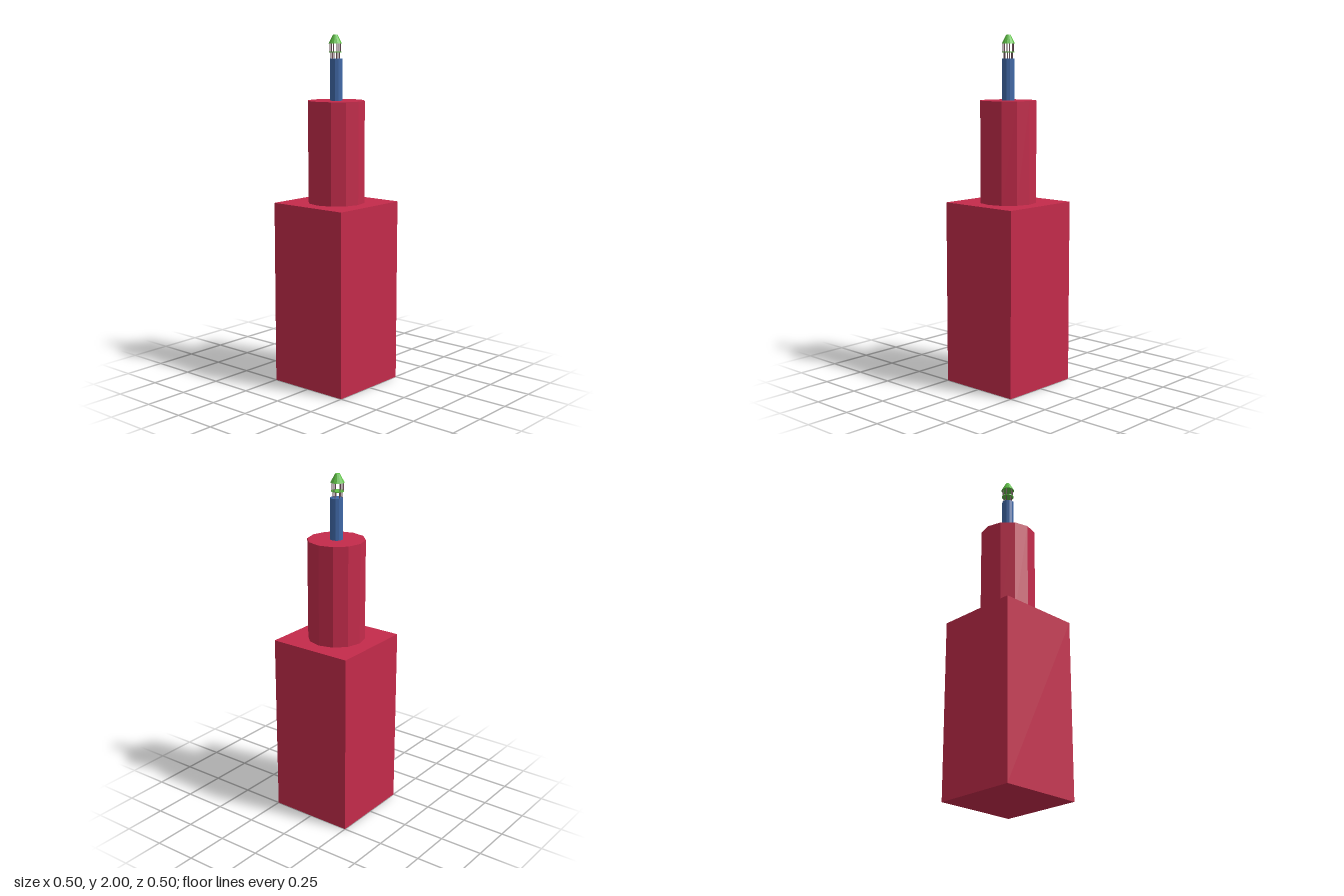
import * as THREE from 'three';

const material = (color) => new THREE.MeshStandardMaterial({ color, flatShading: true });

export function createModel() {
  const group = new THREE.Group();
  const red = material(0xc42b4b);
  const blue = material(0x4069a8);
  const green = material(0x5fc046);
  const dark = material(0x6b5058);

  const add = (name, geometry, mat, x, y, z, parent = group) => {
    const mesh = new THREE.Mesh(geometry, mat);
    mesh.name = name;
    mesh.position.set(x, y, z);
    parent.add(mesh);
    return mesh;
  };
  // Upright cylinder or cone frustum between two heights
  const column = (name, rTop, rBottom, y0, y1, sides, mat, x = 0, z = 0, parent = group) =>
    add(name, new THREE.CylinderGeometry(rTop, rBottom, y1 - y0, sides), mat, x, (y0 + y1) / 2, z, parent);

  // Stacked tower body
  add('towerBase', new THREE.BoxGeometry(0.5, 1.055, 0.5), red, 0, 0.5275, 0);
  column('upperTower', 0.163, 0.163, 1.055, 1.635, 12, red);
  column('turretShaft', 0.036, 0.036, 1.635, 1.868, 12, blue);

  // Open lantern: two tiers of posts, a thin gallery and a roof
  const lantern = new THREE.Group();
  lantern.name = 'lantern';
  lantern.position.set(-0.003, 0, -0.005);
  group.add(lantern);

  const posts = (name, radius, y0, y1, count) => {
    for (let i = 0; i < count; i++) {
      const a = ((i + 0.5) / count) * Math.PI * 2;
      column(name, 0.003, 0.003, y0, y1, 6, dark, Math.sin(a) * radius, Math.cos(a) * radius, lantern);
    }
  };
  posts('lowerPost', 0.025, 1.868, 1.902, 6);
  column('gallery', 0.036, 0.036, 1.902, 1.907, 12, green, 0, 0, lantern);
  posts('upperPost', 0.031, 1.907, 1.952, 6);
  column('roof', 0.013, 0.039, 1.951, 2.0, 12, green, 0, 0, lantern);

  return group;
}
